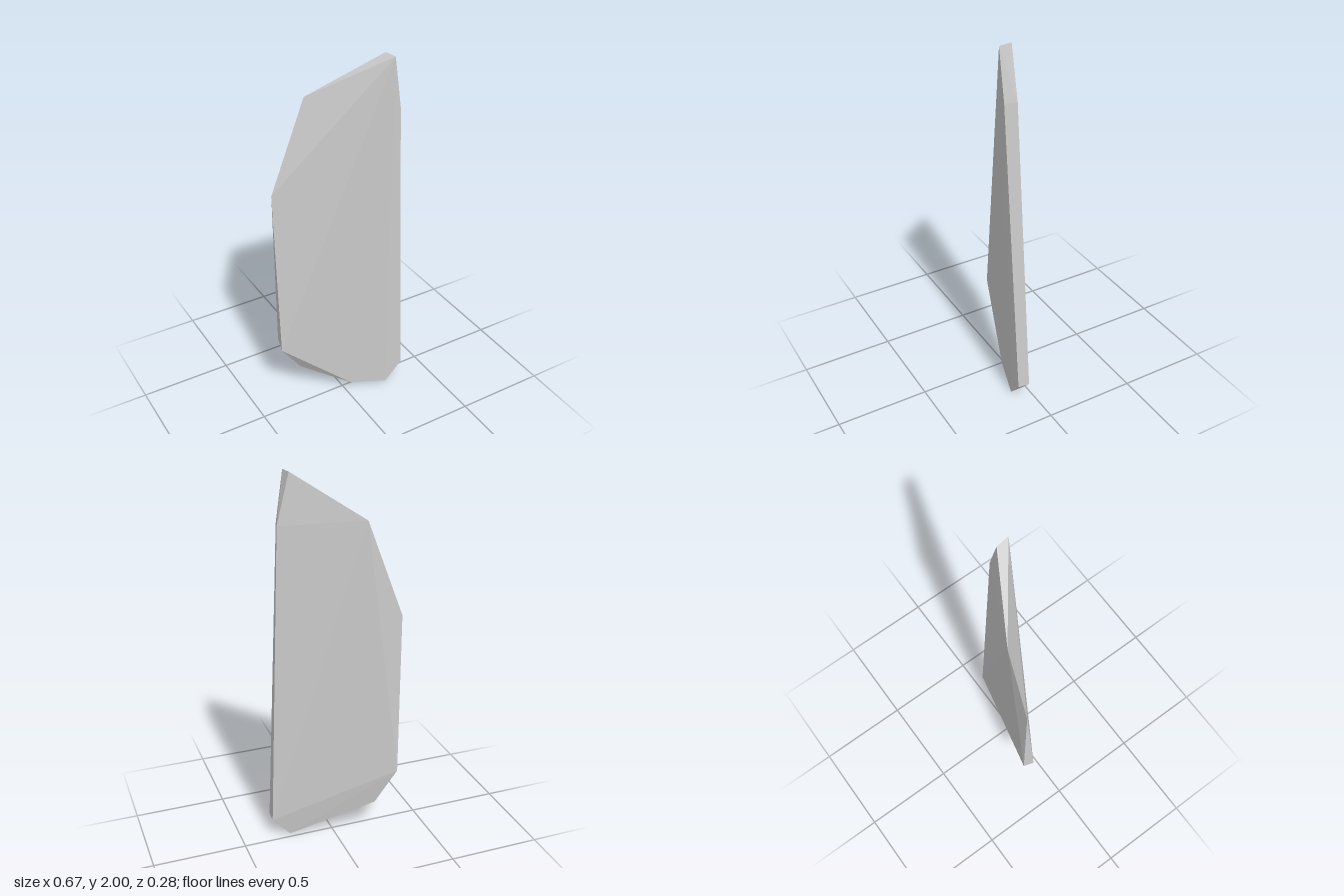
import * as THREE from 'three';
import { ConvexGeometry } from 'three/addons/geometries/ConvexGeometry.js';

// A tall, thin, faceted stone shard: the convex hull of its chipped corners.
export function createModel() {
  const corners = [
    // front face rim
    [0.20, 2.0, 0.14], [0.24, 1.74, 0.137], [0.33, 0.11, 0.10], [0.235, 0, 0.09], [-0.335, 0.34, -0.08],
    // back face rim
    [0.19, 2.0, 0.07], [0.255, 1.74, 0.075], [0.332, 0.105, 0.035], [0.235, 0, 0.028],
    [-0.22, 0.175, -0.088], [-0.325, 0.38, -0.142],
    // knife edge where front and back meet
    [0.034, 0.035, 0.033], [-0.327, 1.28, -0.139], [-0.143, 1.78, -0.118],
  ].map((p) => new THREE.Vector3(...p));

  const material = new THREE.MeshStandardMaterial({ color: 0xcccccc, flatShading: true });
  const shard = new THREE.Mesh(new ConvexGeometry(corners), material);
  shard.name = 'stoneShard';

  const group = new THREE.Group();
  group.name = 'rock';
  group.add(shard);
  return group;
}
